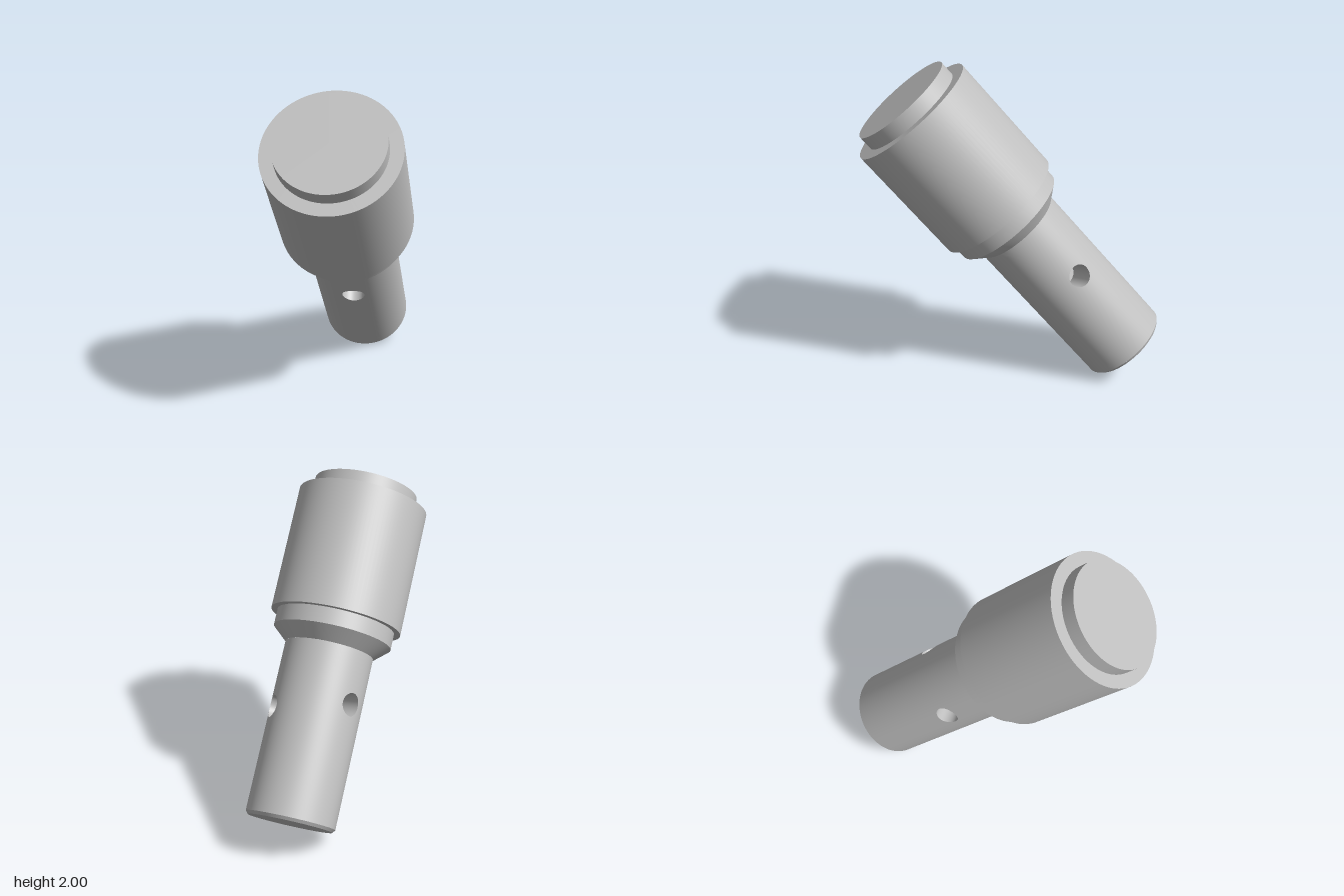
import * as THREE from 'three';
import { ParametricGeometry } from 'three/addons/geometries/ParametricGeometry.js';

export function createModel() {
  const root = new THREE.Group();
  const metal = new THREE.MeshStandardMaterial({ color: 0xc0c0c0 });
  metal.name = 'plain grey metal';

  // The fitting is laid out along local y with its top face at y = 0, then tilted forward
  const fitting = new THREE.Group();
  fitting.name = 'tiltedFitting';
  fitting.rotation.x = THREE.MathUtils.degToRad(40);
  fitting.position.set(0, 1.79, 0.657);
  root.add(fitting);

  const add = (name, geometry) => {
    const mesh = new THREE.Mesh(geometry, metal);
    mesh.name = name;
    fitting.add(mesh);
    return mesh;
  };

  // Turned part: each profile segment is its own surface, so edges stay sharp
  const turned = (name, profile) => {
    for (let i = 0; i < profile.length - 1; i++) {
      const points = [profile[i], profile[i + 1]].map(([r, y]) => new THREE.Vector2(r, y));
      add(name, new THREE.LatheGeometry(points, 96));
    }
  };

  const R = 0.272, shaftTop = -1.054, shaftBottom = -2.105;
  turned('cap', [[0.323, -0.092], [0.323, 0], [0, 0]]);
  turned('body', [[0.364, -0.873], [0.403, -0.873], [0.403, -0.092], [0.323, -0.092]]);
  turned('collar', [[R, shaftTop], [0.364, -0.972], [0.364, -0.873]]);
  turned('shaftEnd', [[0, -2.124], [0.256, -2.124], [R, shaftBottom]]);

  // Shaft wall: three 120 degree panels, each with one drilled blind hole
  const r = 0.069, floorDepth = 0.05;
  const holes = [[35, -1.475], [155, -1.378], [275, -1.352]];
  for (const [degrees, y] of holes) {
    const phi = THREE.MathUtils.degToRad(degrees);

    // Panel: loops grow from the round hole to the rectangular panel border
    add('shaftPanel', new ParametricGeometry((u, v, target) => {
      const t = -u * Math.PI * 2, a = Math.cos(t), b = Math.sin(t);
      const m = Math.max(Math.abs(a), Math.abs(b));
      const edgeY = b > 0 ? shaftTop - y : y - shaftBottom;
      const angle = phi + THREE.MathUtils.lerp(Math.asin(a * r / R), a / m * Math.PI / 3, v);
      const height = y + THREE.MathUtils.lerp(b * r, b / m * edgeY, v);
      target.set(R * Math.cos(angle), height, -R * Math.sin(angle));
    }, 96, 20));

    // Hole wall, running from the curved shaft surface inwards
    add('holeWall', new ParametricGeometry((u, v, target) => {
      const t = u * Math.PI * 2, side = r * Math.cos(t);
      const depth = THREE.MathUtils.lerp(Math.sqrt(R * R - side * side), floorDepth, v);
      target.set(
        depth * Math.cos(phi) - side * Math.sin(phi),
        y + r * Math.sin(t),
        -depth * Math.sin(phi) - side * Math.cos(phi)
      );
    }, 96, 2));

    // Hole floor
    const floor = add('holeFloor', new THREE.CircleGeometry(r, 48));
    floor.position.set(floorDepth * Math.cos(phi), y, -floorDepth * Math.sin(phi));
    floor.rotation.y = phi + Math.PI / 2;
  }

  return root;
}
